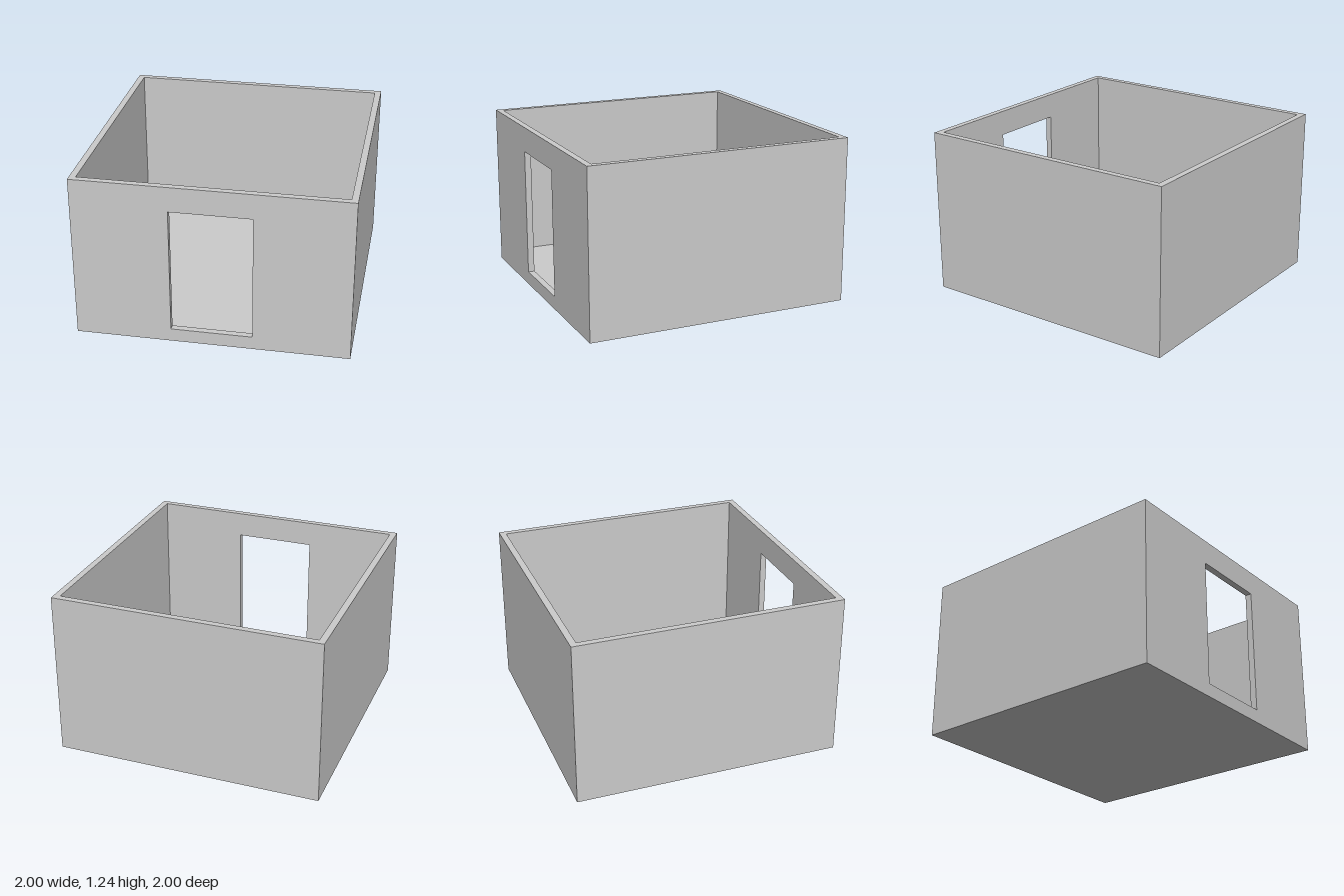
import * as THREE from 'three';

const SIZE = 2, HEIGHT = 1.238, WALL = 0.048, FLOOR = 0.071;
const DOOR = { halfWidth: 0.297, bottom: 0.1, top: 1.05 };

export function createModel() {
  const group = new THREE.Group();
  group.name = 'room';
  const material = new THREE.MeshStandardMaterial({ color: 0xcccccc });
  const half = SIZE / 2, inner = SIZE - 2 * WALL;

  const add = (name, geometry, x, y, z) => {
    const mesh = new THREE.Mesh(geometry, material);
    mesh.name = name;
    mesh.position.set(x, y, z);
    group.add(mesh);
  };

  // Front wall with a doorway above a raised sill
  const wall = new THREE.Shape([
    new THREE.Vector2(-half, 0), new THREE.Vector2(half, 0),
    new THREE.Vector2(half, HEIGHT), new THREE.Vector2(-half, HEIGHT),
  ]);
  const { halfWidth: w, bottom, top } = DOOR;
  wall.holes.push(new THREE.Path([
    new THREE.Vector2(-w, bottom), new THREE.Vector2(-w, top),
    new THREE.Vector2(w, top), new THREE.Vector2(w, bottom),
  ]));
  add('frontWall', new THREE.ExtrudeGeometry(wall, { depth: WALL, bevelEnabled: false }), 0, 0, half - WALL);

  // Solid back wall
  add('backWall', new THREE.BoxGeometry(SIZE, HEIGHT, WALL), 0, HEIGHT / 2, -half + WALL / 2);

  // Side walls fitted between front and back
  for (const [name, side] of [['leftWall', 1], ['rightWall', -1]]) {
    add(name, new THREE.BoxGeometry(WALL, HEIGHT, inner), side * (half - WALL / 2), HEIGHT / 2, 0);
  }

  // Floor slab, slightly lower than the door sill
  add('floor', new THREE.BoxGeometry(inner, FLOOR, inner), 0, FLOOR / 2, 0);

  return group;
}
